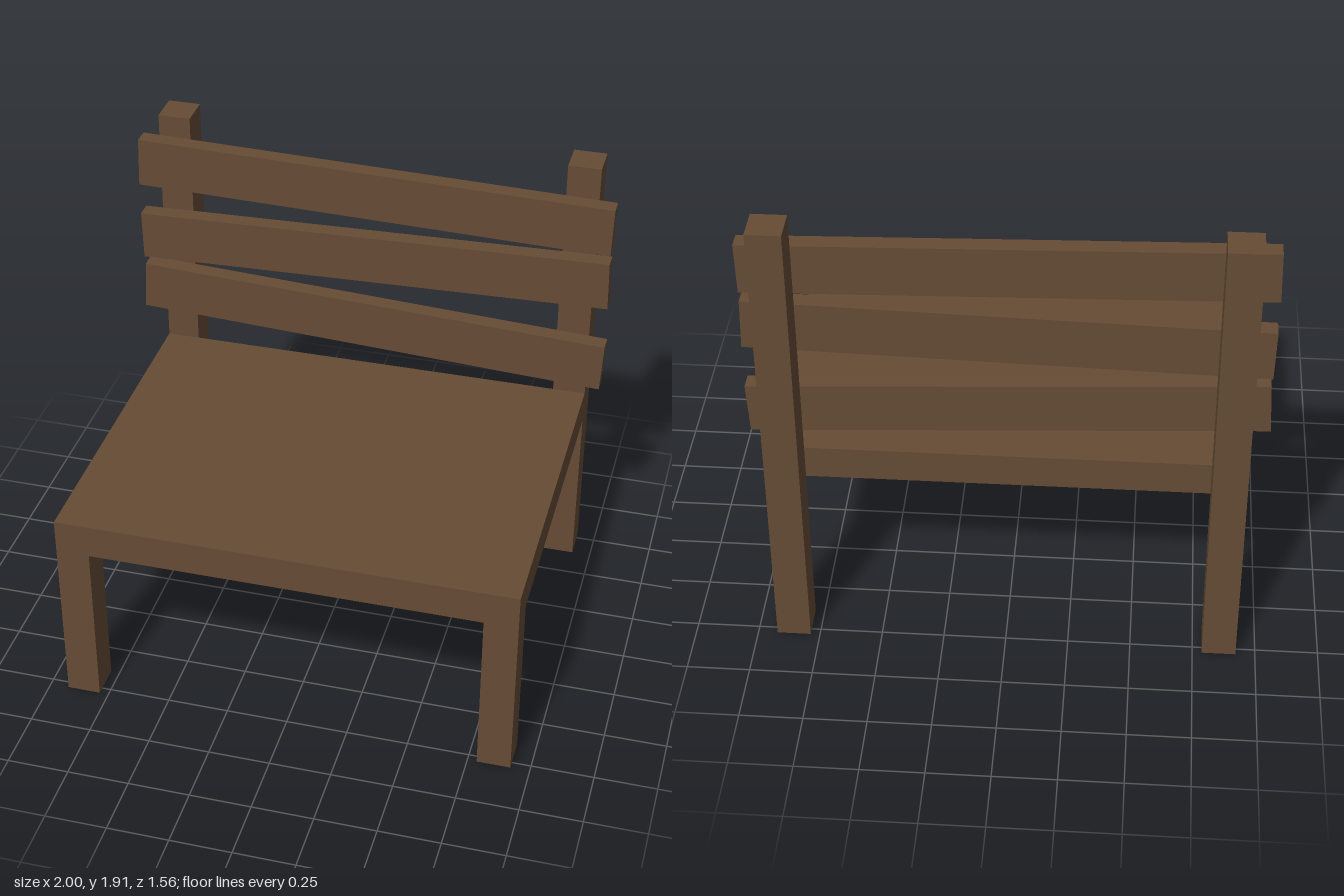
import * as THREE from 'three';

export function createModel() {
  const group = new THREE.Group();
  const wood = new THREE.MeshStandardMaterial({ color: 0x664c35 });
  wood.name = 'brown wood';

  const addBox = (name, size, position, tilt = 0) => {
    const mesh = new THREE.Mesh(new THREE.BoxGeometry(...size), wood);
    mesh.name = name;
    mesh.position.set(...position);
    mesh.rotation.z = tilt;
    group.add(mesh);
  };

  const post = 0.135; // width of legs and posts
  const depth = 0.14;
  const seatBottom = 0.71;
  const seatTop = 0.85;
  const postTop = 1.915;

  // Seat slab, ending at the front faces of the back posts
  addBox('seat', [1.845, seatTop - seatBottom, 1.42], [0, (seatTop + seatBottom) / 2, 0.07]);

  // Short front legs and tall back posts on both sides
  for (const [side, sx] of [['left', 1], ['right', -1]]) {
    const x = sx * (0.9225 - post / 2);
    addBox(`${side}FrontLeg`, [post, seatBottom, depth], [x, seatBottom / 2, 0.71]);
    addBox(`${side}BackPost`, [post, postTop, depth], [x, postTop / 2, -0.71]);
  }

  // Crooked back slats: height of centre and tilt
  const slats = [
    ['lowerSlat', 1.081, -0.05],
    ['middleSlat', 1.4, 0.025],
    ['upperSlat', 1.697, -0.025],
  ];
  for (const [name, y, tilt] of slats) {
    addBox(name, [1.99, 0.208, 0.07], [0, y, -0.605], tilt);
  }

  return group;
}
